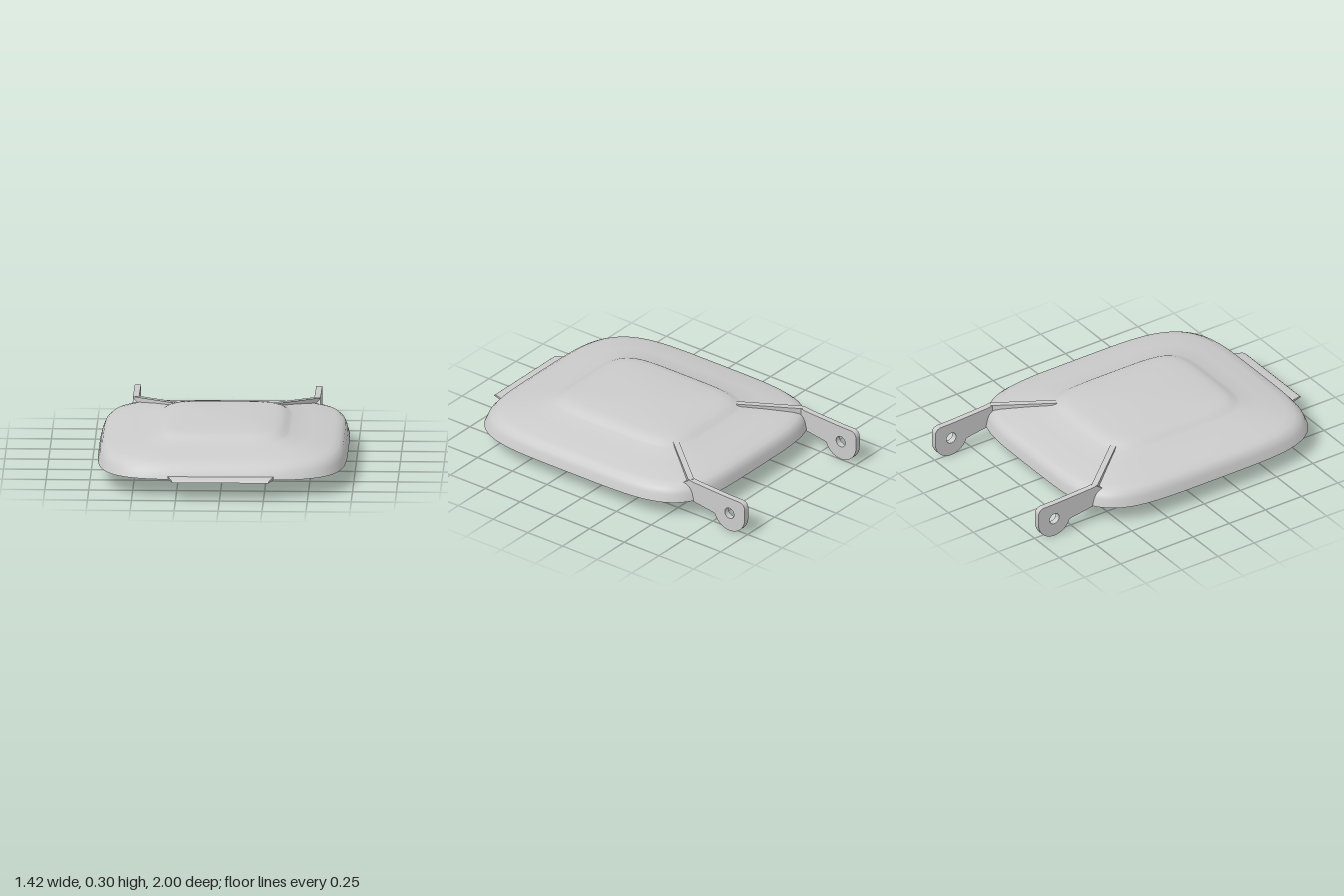
import * as THREE from 'three';
import { toCreasedNormals } from 'three/addons/utils/BufferGeometryUtils.js';

const material = new THREE.MeshStandardMaterial({ color: 0xcccccc, side: THREE.DoubleSide });

function part(name, geometry) {
  const mesh = new THREE.Mesh(geometry, material);
  mesh.name = name;
  return mesh;
}

// Stacks rounded-rectangle rings [halfWidth, zBack, zFront, y, squareness] into a closed shell.
function loft(rings, segments = 96) {
  const positions = [], indices = [];
  const power = (v, n) => Math.sign(v) * Math.abs(v) ** (2 / n);
  for (const [hx, z0, z1, y, n] of rings) {
    for (let j = 0; j < segments; j++) {
      const t = (j / segments) * Math.PI * 2;
      positions.push(hx * power(Math.cos(t), n), y, (z0 + z1) / 2 + ((z1 - z0) / 2) * power(Math.sin(t), n));
    }
  }
  for (let i = 0; i < rings.length - 1; i++) {
    for (let j = 0; j < segments; j++) {
      const k = (j + 1) % segments;
      const a = i * segments + j, b = i * segments + k;
      const c = a + segments, d = b + segments;
      indices.push(a, c, b, b, c, d);
    }
  }
  const geometry = new THREE.BufferGeometry();
  geometry.setAttribute('position', new THREE.Float32BufferAttribute(positions, 3));
  geometry.setIndex(indices);
  return toCreasedNormals(geometry, 0.6);
}

// Extrudes a side profile, centred on its thickness.
function plate(shape, thickness) {
  const geometry = new THREE.ExtrudeGeometry(shape, { depth: thickness, bevelEnabled: false, curveSegments: 20 });
  return geometry.translate(0, 0, -thickness / 2);
}

// Hinge arm: profile drawn with its first axis running towards the back.
function hingeArm() {
  const shape = new THREE.Shape();
  shape.moveTo(0.56, 0.11);
  shape.lineTo(0.785, 0.105);
  shape.absarc(0.89, 0.11, 0.11, Math.PI, Math.PI * 2, false);
  shape.lineTo(1, 0.165);
  shape.quadraticCurveTo(1, 0.208, 0.96, 0.21);
  shape.lineTo(0.88, 0.211);
  shape.lineTo(0.64, 0.223);
  shape.lineTo(0.6, 0.228);
  shape.lineTo(0.56, 0.2);
  const hole = new THREE.Path();
  hole.absarc(0.89, 0.113, 0.033, 0, Math.PI * 2, true);
  shape.holes.push(hole);
  return toCreasedNormals(plate(shape, 0.035).rotateY(Math.PI / 2), 0.5);
}

// Diagonal rib running from the arm to the raised panel.
function rib(side) {
  const dx = -0.235 * side, dz = 0.29, length = Math.hypot(dx, dz);
  const shape = new THREE.Shape([
    new THREE.Vector2(-0.005, 0.18), new THREE.Vector2(length, 0.22),
    new THREE.Vector2(length, 0.263), new THREE.Vector2(-0.005, 0.228),
  ]);
  return plate(shape, 0.034).rotateY(Math.atan2(-dz, dx));
}

// Front grip: a thin wedge that narrows towards its outer edge.
function frontGrip() {
  const shape = new THREE.Shape([[-0.88, 0.105], [-0.88, 0.123], [-0.975, 0.119], [-0.99, 0.114], [-1, 0.105]]
    .map(([u, v]) => new THREE.Vector2(u, v)));
  const geometry = plate(shape, 0.62).rotateY(Math.PI / 2);
  const p = geometry.attributes.position;
  for (let i = 0; i < p.count; i++) {
    const taper = THREE.MathUtils.clamp((p.getZ(i) - 0.92) / 0.08, 0, 1);
    p.setX(i, p.getX(i) * (1 - 0.12 * taper) + 0.004);
  }
  return toCreasedNormals(geometry, 0.3);
}

export function createModel() {
  const model = new THREE.Group();
  model.name = 'binLid';

  // Lid: flat underside, rounded skirt, sloping shoulder and raised panel
  model.add(part('lid', loft([
    [0, 0.11, 0.11, 0.105, 4.4],
    [0.71, -0.69, 0.925, 0.105, 4.4],
    [0.698, -0.682, 0.908, 0.15, 4.4],
    [0.686, -0.672, 0.885, 0.177, 4.4],
    [0.665, -0.652, 0.855, 0.196, 4.4],
    [0.63, -0.615, 0.81, 0.207, 4.4],
    [0.5, -0.49, 0.69, 0.229, 4.6],
    [0.385, -0.365, 0.59, 0.246, 5],
    [0.37, -0.35, 0.572, 0.253, 5],
    [0.348, -0.325, 0.545, 0.268, 5],
    [0.325, -0.3, 0.52, 0.277, 5],
    [0.29, -0.265, 0.48, 0.283, 5],
    [0.2, -0.15, 0.35, 0.29, 4],
    [0.1, -0.02, 0.21, 0.295, 3],
    [0, 0.07, 0.07, 0.297, 2],
  ])));

  model.add(part('frontGrip', frontGrip()));

  // Hinge arms and ribs, one pair per side
  for (const [side, label, x] of [[1, 'left', 0.51], [-1, 'right', -0.522]]) {
    const arm = part(label + 'HingeArm', hingeArm());
    arm.position.x = x;
    const ridge = part(label + 'Rib', rib(side));
    ridge.position.set(x, 0, -0.6);
    model.add(arm, ridge);
  }
  return model;
}
